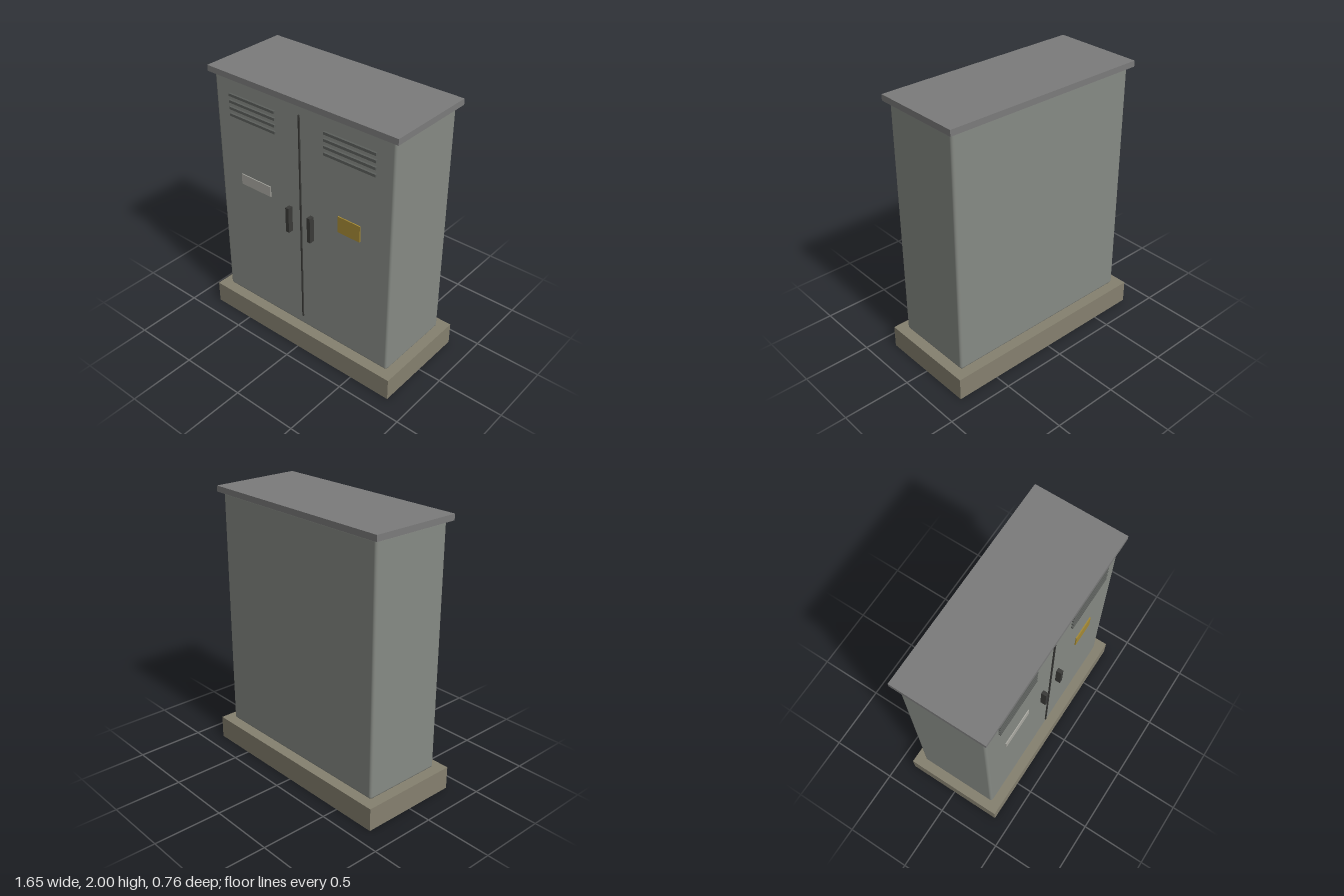
import * as THREE from 'three';
import { RoundedBoxGeometry } from 'three/addons/geometries/RoundedBoxGeometry.js';

const FRONT = 0.307; // z of the door face

export function createModel() {
  const model = new THREE.Group();
  model.name = 'utilityCabinet';

  const mat = (color) => new THREE.MeshStandardMaterial({ color });
  const concrete = mat(0x85806f);
  const paint = mat(0x868a84);
  const roofGrey = mat(0x7b7b7b);
  const ventGrey = mat(0x5c5f5c);
  const dark = mat(0x3a3a38);
  const plate = mat(0xaaa9a2);
  const yellow = mat(0xa58a35);

  const add = (name, geometry, material, x, y, z) => {
    const mesh = new THREE.Mesh(geometry, material);
    mesh.name = name;
    mesh.position.set(x, y, z);
    model.add(mesh);
  };
  // Box sunk slightly into the door face, standing out by the given depth
  const onDoor = (name, material, x, y, w, h, depth) =>
    add(name, new THREE.BoxGeometry(w, h, depth + 0.01), material, x, y, FRONT + (depth - 0.01) / 2);

  // Plinth, cabinet shell and overhanging roof
  add('plinth', new THREE.BoxGeometry(1.65, 0.17, 0.756), concrete, 0, 0.085, 0);
  add('cabinetBody', new RoundedBoxGeometry(1.51, 1.79, FRONT * 2, 3, 0.02), paint, 0, 1.065, 0);
  add('roof', new THREE.BoxGeometry(1.574, 0.043, 0.676), roofGrey, 0, 1.9785, 0);

  // Seam between the two doors
  onDoor('doorSeam', dark, 0, 1.065, 0.01, 1.63, 0.01);

  // Handles and louvre slats, mirrored on both doors
  for (const [side, s] of [['left', 1], ['right', -1]]) {
    onDoor(side + 'Handle', dark, s * 0.096, 1.063, 0.028, 0.194, 0.04);
    for (let i = 0; i < 4; i++) {
      onDoor(side + 'VentSlat' + (i + 1), ventGrey, s * 0.413, 1.83 - i * 0.049, 0.412, 0.019, 0.015);
    }
  }

  // Name plate and warning plate
  onDoor('namePlate', plate, -0.413, 1.2, 0.275, 0.08, 0.007);
  onDoor('warningPlate', yellow, 0.413, 1.2, 0.184, 0.122, 0.008);

  return model;
}
